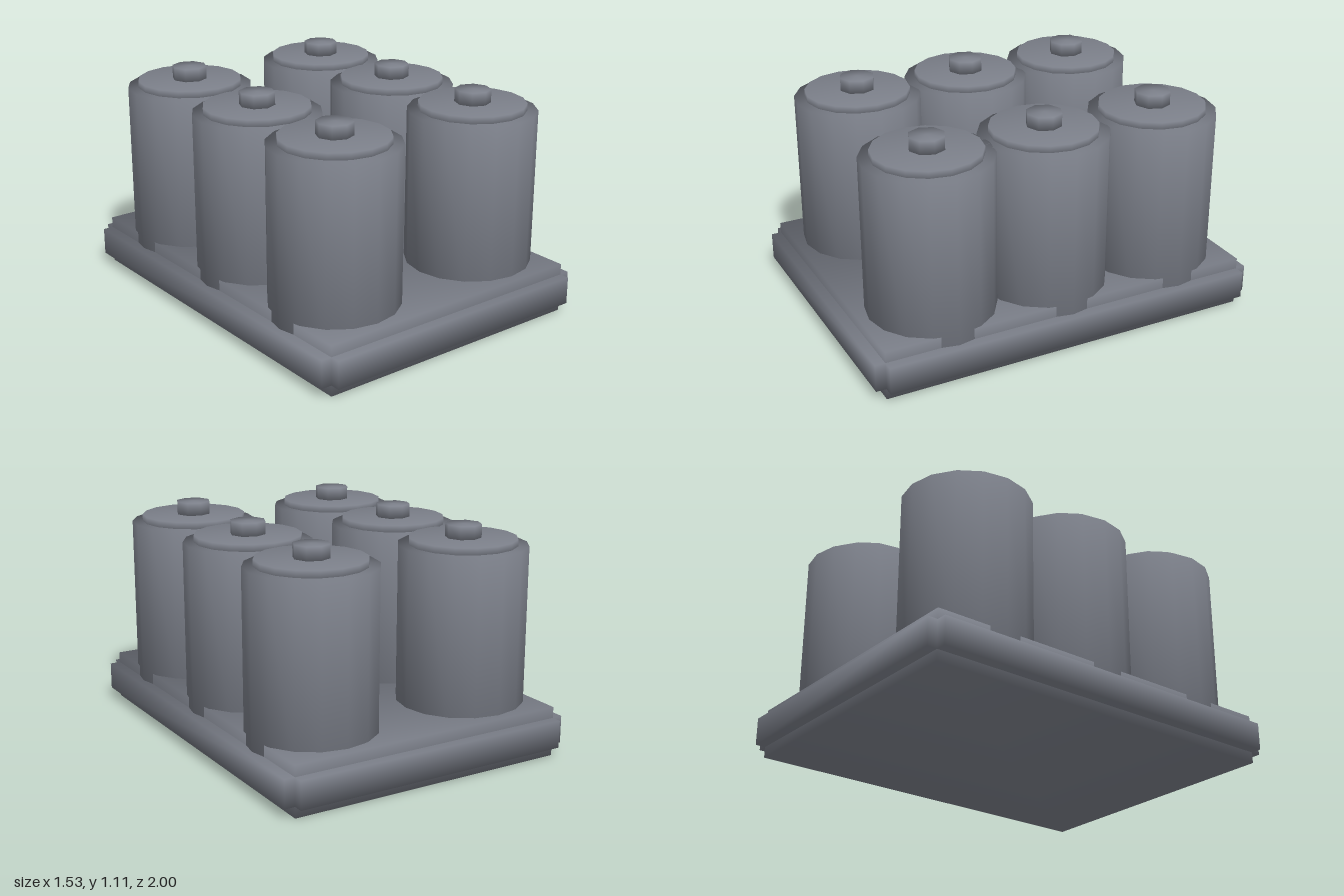
import * as THREE from 'three';

const material = new THREE.MeshStandardMaterial({ color: 0x7c808a });

// Box whose corner normals point diagonally outward, for soft shading over its edges
function softBox(w, h, d) {
  const geometry = new THREE.BoxGeometry(w, h, d);
  const { position, normal } = geometry.attributes;
  const n = new THREE.Vector3();
  for (let i = 0; i < position.count; i++) {
    n.fromBufferAttribute(position, i);
    n.set(Math.sign(n.x), Math.sign(n.y), Math.sign(n.z)).normalize();
    normal.setXYZ(i, n.x, n.y, n.z);
  }
  return geometry;
}

// Closed cylinder with normals blended over both rims
function softCylinder(radius, bottom, top, sides) {
  const profile = [[0, bottom], [radius, bottom], [radius, top], [0, top]];
  return new THREE.LatheGeometry(profile.map(([r, y]) => new THREE.Vector2(r, y)), sides);
}

function addMesh(parent, name, geometry, y = 0) {
  const mesh = new THREE.Mesh(geometry, material);
  mesh.name = name;
  mesh.position.y = y;
  parent.add(mesh);
}

export function createModel() {
  const model = new THREE.Group();
  model.name = 'canisterTray';

  // Tray with stepped edges and notched corners
  const tray = new THREE.Group();
  tray.name = 'tray';
  addMesh(tray, 'trayCore', softBox(1.425, 0.245, 1.9), 0.1225);
  addMesh(tray, 'traySideBand', softBox(1.53, 0.136, 1.9), 0.1225);
  addMesh(tray, 'trayEndBand', softBox(1.425, 0.136, 2), 0.1225);
  model.add(tray);

  // Sixteen-sided canister and lid with an eight-sided knob
  const bodyGeometry = softCylinder(0.312, 0.12, 1.01, 16);
  const lidGeometry = softCylinder(0.26, 0.98, 1.043, 16);
  const knobGeometry = softCylinder(0.087, 1.03, 1.107, 8);

  // Two columns of three
  for (const x of [-0.417, 0.417]) {
    for (const z of [-0.593, 0, 0.593]) {
      const canister = new THREE.Group();
      canister.name = 'canister';
      canister.position.set(x, 0, z);
      addMesh(canister, 'canisterBody', bodyGeometry);
      addMesh(canister, 'canisterLid', lidGeometry);
      addMesh(canister, 'canisterKnob', knobGeometry);
      model.add(canister);
    }
  }
  return model;
}
